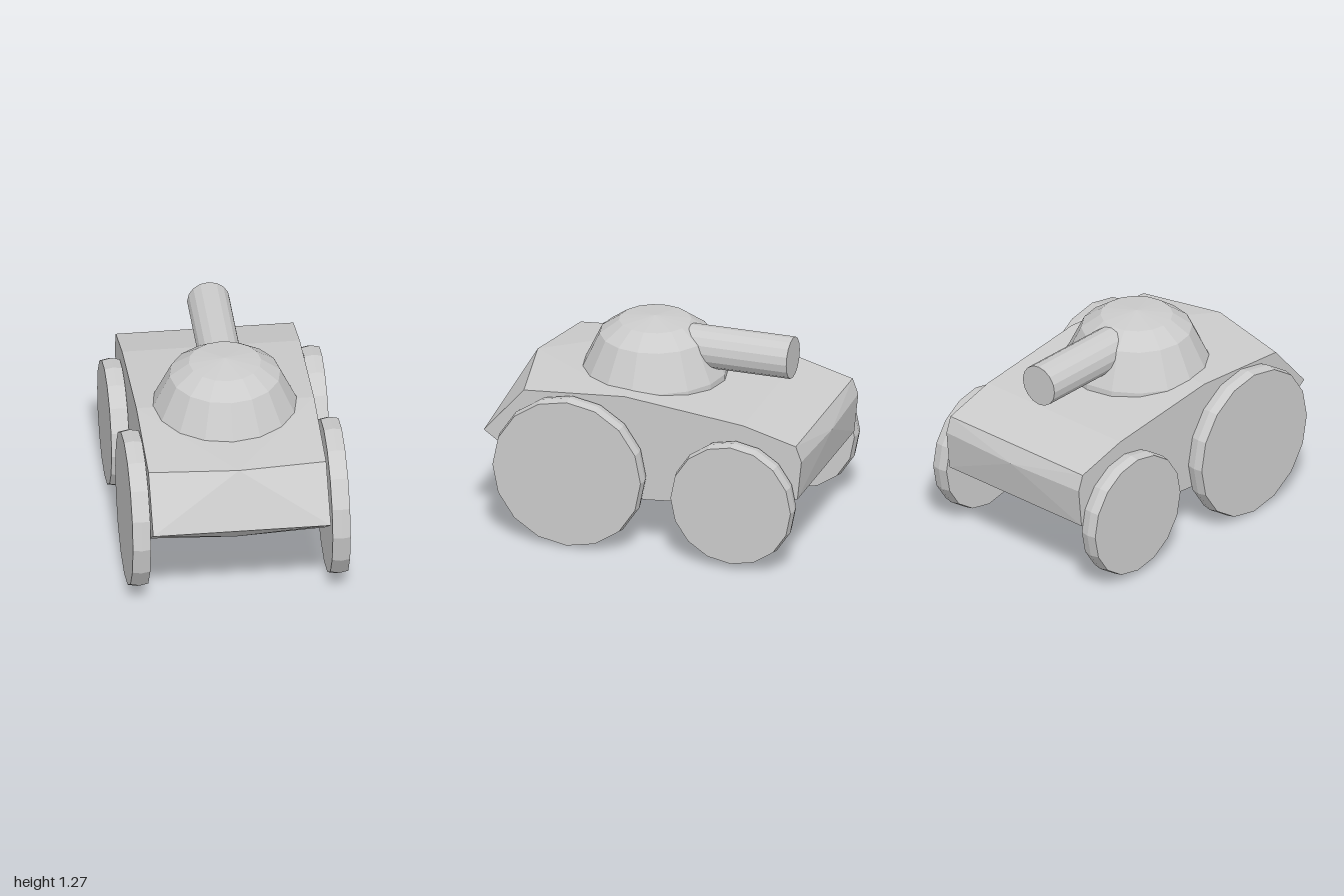
import * as THREE from 'three';
import { ConvexGeometry } from 'three/addons/geometries/ConvexGeometry.js';

const material = new THREE.MeshStandardMaterial({ color: 0xcccccc, flatShading: true });
const CENTRE_X = -0.01;

function part(name, geometry, parent) {
  const mesh = new THREE.Mesh(geometry, material);
  mesh.name = name;
  parent.add(mesh);
  return mesh;
}

// Wheel disc with a slightly raised tread line, axle along x
function wheelGeometry(radius, width) {
  const h = width / 2, edge = radius - 0.01;
  const profile = [[0, -h], [edge, -h], [radius, 0], [edge, h], [0, h]]
    .map(([r, y]) => new THREE.Vector2(r, y));
  return new THREE.LatheGeometry(profile, 16).rotateZ(Math.PI / 2);
}

export function createModel() {
  const model = new THREE.Group();
  model.name = 'armouredCar';

  // Hull: side outlines [z, y] joined over a slightly fuller middle section
  const side = [
    [1, 0.63], [0.75, 0.92], [0.12, 0.965], [-0.62, 0.88], [-0.95, 0.79],
    [-0.985, 0.695], [-0.96, 0.45], [-0.55, 0.36], [0, 0.315], [0.7, 0.42],
  ];
  const middle = [[0.84, 0.955], [-1, 0.69], [0.7, 0.395]];
  const points = [];
  for (const [x, outline] of [[-0.54, side], [CENTRE_X, middle], [0.52, side]]) {
    for (const [z, y] of outline) points.push(new THREE.Vector3(x, y, z));
  }
  part('hull', new ConvexGeometry(points), model);

  // Domed turret
  const dome = [[0, 0.9], [0.437, 0.9], [0.435, 0.95], [0.33, 1.168], [0.215, 1.25], [0, 1.275]]
    .map(([r, y]) => new THREE.Vector2(r, y));
  part('turret', new THREE.LatheGeometry(dome, 16), model).position.set(CENTRE_X, 0, 0.107);

  // Gun barrel, pointing to the rear
  const barrel = new THREE.CylinderGeometry(0.127, 0.127, 0.665, 16).rotateX(Math.PI / 2);
  part('gunBarrel', barrel, model).position.set(CENTRE_X, 1.118, -0.4225);

  // Large front wheels and smaller rear wheels
  const axles = [
    { name: 'front', radius: 0.4725, y: 0.4725, z: 0.44 },
    { name: 'rear', radius: 0.385, y: 0.41, z: -0.585 },
  ];
  for (const { name, radius, y, z } of axles) {
    const geometry = wheelGeometry(radius, 0.107);
    for (const [sideName, s] of [['Left', 1], ['Right', -1]]) {
      part(name + sideName + 'Wheel', geometry, model).position.set(s * 0.596, y, z);
    }
  }

  return model;
}
